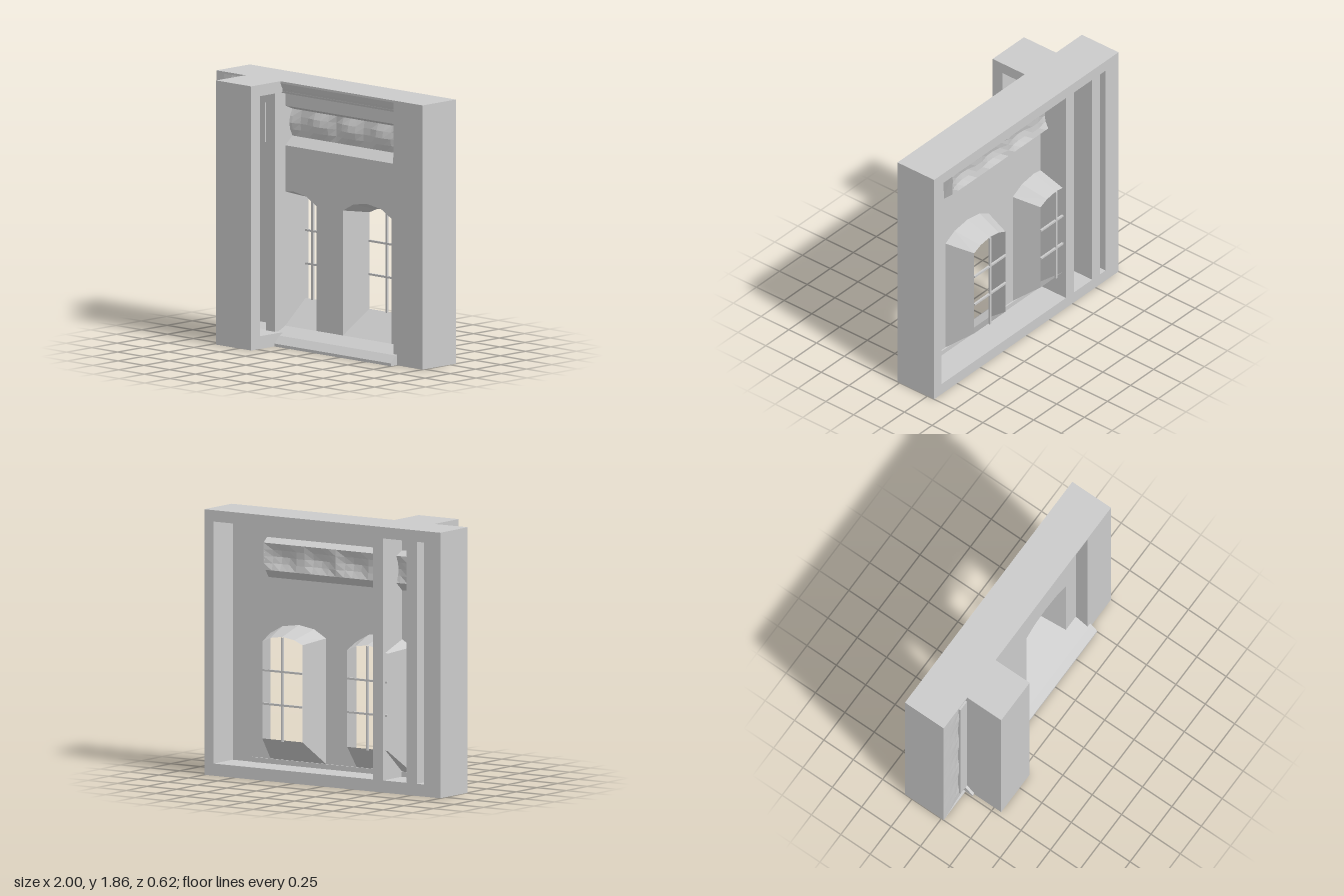
import * as THREE from 'three';

const solid = new THREE.MeshStandardMaterial({ color: 0xcccccc });
const thin = new THREE.MeshStandardMaterial({ color: 0xcccccc, side: THREE.DoubleSide, flatShading: true });

export function createModel() {
  const model = new THREE.Group();

  function add(name, geometry, material = solid, parent = model) {
    const mesh = new THREE.Mesh(geometry, material);
    mesh.name = name;
    parent.add(mesh);
    return mesh;
  }

  // Box given by its limits on each axis
  function block(name, x0, x1, y0, y1, z0, z1, parent = model) {
    const mesh = add(name, new THREE.BoxGeometry(x1 - x0, y1 - y0, z1 - z0), solid, parent);
    mesh.position.set((x0 + x1) / 2, (y0 + y1) / 2, (z0 + z1) / 2);
    return mesh;
  }

  // Closed band between two outlines of [x, y] points at two depths
  function loft(front, back, zFront, zBack) {
    const pos = [];
    front.forEach((a, i) => {
      const j = (i + 1) % front.length;
      const A = [...a, zFront], B = [...front[j], zFront];
      const C = [...back[j], zBack], D = [...back[i], zBack];
      pos.push(...A, ...B, ...C, ...A, ...C, ...D);
    });
    const g = new THREE.BufferGeometry();
    g.setAttribute('position', new THREE.Float32BufferAttribute(pos, 3));
    g.computeVertexNormals();
    return g;
  }

  // Profile of [z, y] points swept from x0 to x1
  function sweep(profile, x0, x1) {
    const shape = new THREE.Shape(profile.map(([z, y]) => new THREE.Vector2(-z, y)));
    const g = new THREE.ExtrudeGeometry(shape, { depth: x1 - x0, bevelEnabled: false });
    return g.rotateY(Math.PI / 2).translate(x0, 0, 0);
  }

  // Sheet whose depth follows a rule of (u, v), both 0..1
  function sheet(x0, x1, y0, y1, nx, ny, depth) {
    const g = new THREE.PlaneGeometry(x1 - x0, y1 - y0, nx, ny);
    g.translate((x0 + x1) / 2, (y0 + y1) / 2, 0);
    const p = g.attributes.position;
    for (let i = 0; i < p.count; i++) {
      p.setZ(i, depth((p.getX(i) - x0) / (x1 - x0), (p.getY(i) - y0) / (y1 - y0)));
    }
    g.computeVertexNormals();
    return g;
  }

  // Outer frame, open at the back
  block('topSlab', -1, 1, 1.78, 1.86, -0.31, -0.03);
  block('floorSlab', -1, 1, 0, 0.085, -0.31, -0.03);
  block('leftWall', 0.92, 1, 0.085, 1.78, -0.31, -0.03);
  block('rightWall', -1, -0.86, 0.085, 1.78, -0.31, -0.03);
  block('leftFrontPier', 0.72, 1, 0, 1.86, -0.08, 0.02);
  block('innerDivider', -0.515, -0.43, 0.085, 1.78, -0.31, 0.025);
  block('outerDivider', -0.80, -0.715, 0.085, 1.78, -0.31, 0.02);

  // Moulded upper edge above the recessed wall
  add('cornice', sweep([[-0.1, 1.76], [-0.04, 1.765], [-0.02, 1.80], [0.0, 1.805], [0.02, 1.845], [0.02, 1.86], [-0.1, 1.86]], -0.72, 0.72));

  // Hollow pilaster, its left face open
  const pilaster = new THREE.Group();
  pilaster.name = 'pilaster';
  model.add(pilaster);
  block('pilasterFront', -0.72, -0.38, 0, 1.86, 0.22, 0.31, pilaster);
  block('pilasterSide', -0.72, -0.635, 0.09, 1.78, 0.02, 0.22, pilaster);
  block('pilasterTop', -0.72, -0.38, 1.78, 1.86, 0.0, 0.22, pilaster);
  block('pilasterBase', -0.72, -0.38, 0, 0.09, 0.0, 0.22, pilaster);

  // Window outlines at the wall face and at the glazing, around x = 0.36
  const archFront = [[0.13, 0.12], [0.13, 1.0], [0.23, 1.055], [0.36, 1.075], [0.5, 1.055], [0.60, 1.0], [0.60, 0.12]];
  const archBack = [[0.19, 0.29], [0.19, 0.97], [0.26, 1.0], [0.36, 1.015], [0.46, 1.0], [0.53, 0.97], [0.53, 0.29]];
  const mirror = (pts) => pts.map(([x, y]) => [-x, y]);

  // Recessed wall with two arched notches and an upper panel opening
  const outline = [[-0.72, 0.12], ...mirror(archFront).reverse(), ...archFront, [0.72, 0.12], [0.72, 1.78], [-0.72, 1.78]];
  const wall = new THREE.Shape(outline.map(([x, y]) => new THREE.Vector2(x, y)));
  const panelFront = [[-0.63, 1.39], [0.615, 1.39], [0.63, 1.67], [-0.63, 1.67]];
  const panelBack = [[-0.61, 1.45], [0.595, 1.45], [0.61, 1.64], [-0.61, 1.64]];
  wall.holes.push(new THREE.Path(panelFront.map(([x, y]) => new THREE.Vector2(x, y))));
  add('recessedWall', new THREE.ShapeGeometry(wall).translate(0, 0, -0.08), thin);

  // Upper panel with folded relief
  add('panelReveal', loft(panelFront, panelBack, -0.08, -0.15), thin);
  add('panelRelief', sheet(-0.61, 0.61, 1.45, 1.64, 18, 4, (u, v) =>
    -0.15 + 0.035 * Math.abs(Math.sin(u * Math.PI * 4)) * Math.sin(v * Math.PI)), thin);

  // Windows: splayed reveals and thin glazing bars
  for (const side of [1, -1]) {
    const win = new THREE.Group();
    win.name = side > 0 ? 'leftWindow' : 'rightWindow';
    model.add(win);
    const flip = side > 0 ? (p) => p : mirror;
    add('windowReveal', loft(flip(archFront), flip(archBack), -0.08, -0.28), thin, win);
    const cx = 0.36 * side;
    block('verticalBar', cx - 0.008, cx + 0.008, 0.28, 1.01, -0.287, -0.273, win);
    for (const y of [0.535, 0.77]) {
      block('horizontalBar', cx - 0.17, cx + 0.17, y - 0.007, y + 0.007, -0.287, -0.273, win);
    }
  }

  // Sloping base along the foot of the wall
  add('slopingBase', sweep([[-0.09, 0], [0.08, 0], [0.08, 0.02], [0.03, 0.07], [-0.08, 0.12], [-0.09, 0.12]], -0.74, 0.75));

  // Uneven strip beside the pilaster
  add('rightFrontStrip', sheet(-1, -0.72, 0, 1.86, 4, 14, (u, v) =>
    0.02 - 0.045 * u * u * (0.7 + 0.3 * Math.sin(v * 23 + u * 5))), thin);
  block('stripTop', -1, -0.72, 1.845, 1.86, -0.03, 0.02);
  block('stripFoot', -1, -0.72, 0, 0.01, -0.03, 0.02);
  block('stripEdge', -1, -0.985, 0, 1.86, -0.03, 0.019);

  return model;
}
